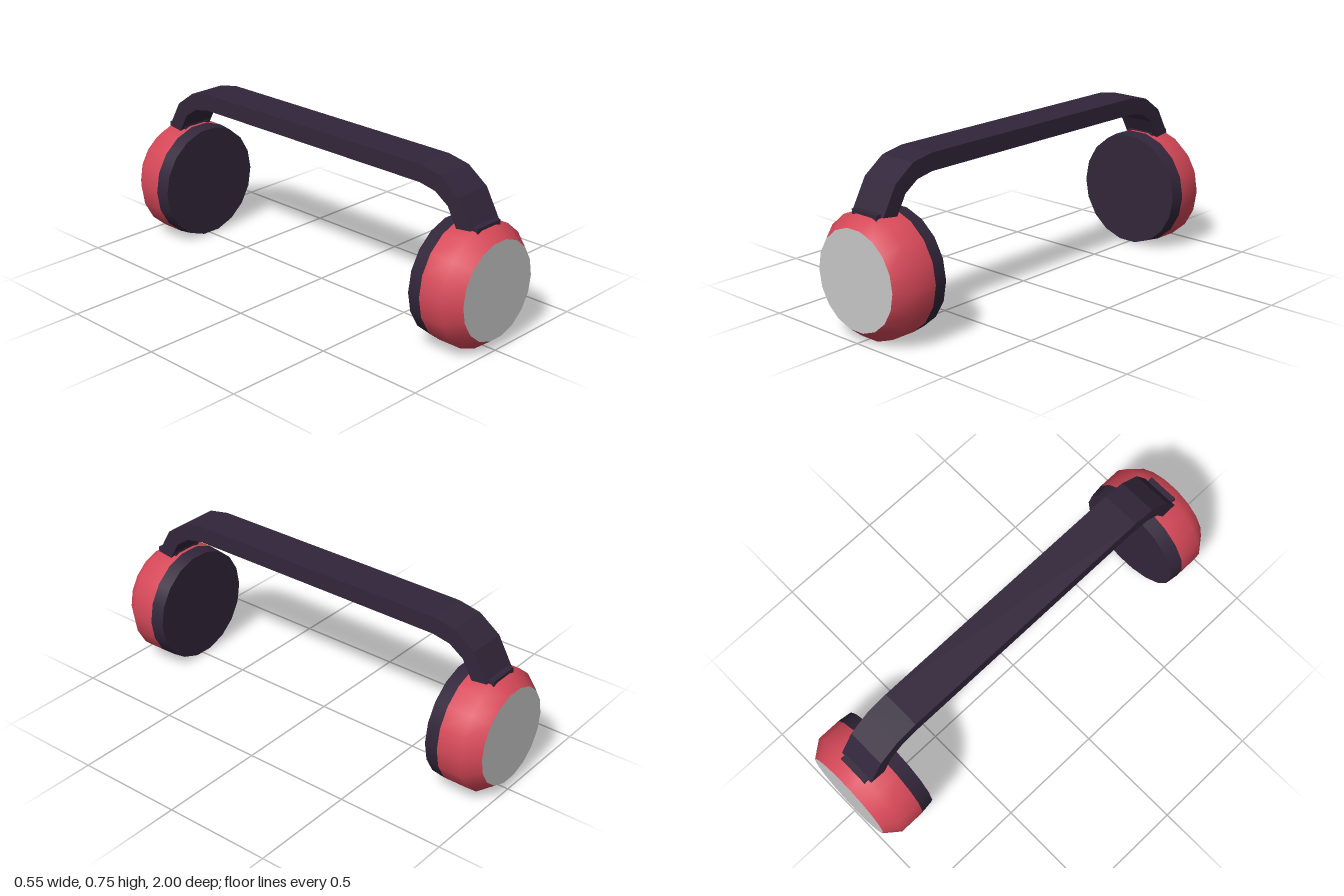
import * as THREE from 'three';

const SIDES = 18;
const CUP_Y = 0.27;

export function createModel() {
  const model = new THREE.Group();
  model.name = 'headphones';

  const red = new THREE.MeshStandardMaterial({ color: 0xd64858 });
  red.name = 'cup red';
  const dark = new THREE.MeshStandardMaterial({ color: 0x32263a });
  dark.name = 'dark plum';
  const silver = new THREE.MeshStandardMaterial({ color: 0xc6c6c6 });
  silver.name = 'silver';

  const add = (parent, name, geometry, material) => {
    const mesh = new THREE.Mesh(geometry, material);
    mesh.name = name;
    parent.add(mesh);
    return mesh;
  };

  // Headband: side outline in (z, y), mirrored, extruded across its width
  const outer = [[0.92, 0.535], [0.85, 0.66], [0.752, 0.73], [0.647, 0.75]];
  const inner = [[0.647, 0.672], [0.73, 0.656], [0.798, 0.61], [0.845, 0.525]];
  const mirror = (pts) => pts.map(([z, y]) => [-z, y]).reverse();
  const outline = [...outer, ...mirror(outer), ...mirror(inner), ...inner];
  const shape = new THREE.Shape(outline.map(([z, y]) => new THREE.Vector2(z, y)));
  const band = new THREE.ExtrudeGeometry(shape, { depth: 0.182, bevelEnabled: false });
  band.translate(0, 0, -0.091);
  band.rotateY(-Math.PI / 2);
  add(model, 'headband', band, dark);

  // One ear cup at +z and its copy turned round to -z
  for (const [name, turn] of [['frontEarCup', 0], ['backEarCup', Math.PI]]) {
    const cup = new THREE.Group();
    cup.name = name;
    cup.rotation.y = turn;
    model.add(cup);

    // Rounded shell
    const profile = [[0.274, 0.815], [0.274, 0.93], [0.22, 1]];
    const shell = new THREE.LatheGeometry(
      profile.map(([r, z]) => new THREE.Vector2(r, z)), SIDES, Math.PI / 2);
    shell.rotateX(Math.PI / 2);
    add(cup, 'shell', shell, red).position.y = CUP_Y;

    // Flat outer disc
    add(cup, 'outerDisc', new THREE.CircleGeometry(0.22, SIDES), silver)
      .position.set(0, CUP_Y, 1);

    // Ear cushion, tapering slightly inwards
    const cushion = new THREE.CylinderGeometry(0.274, 0.266, 0.065, SIDES, 1, false, Math.PI / 2);
    cushion.rotateX(Math.PI / 2);
    add(cup, 'cushion', cushion, dark).position.set(0, CUP_Y, 0.7825);

    // Block joining the band to the cup
    add(cup, 'bandMount', new THREE.BoxGeometry(0.146, 0.06, 0.11), dark)
      .position.set(0, 0.516, 0.886);
  }

  return model;
}
